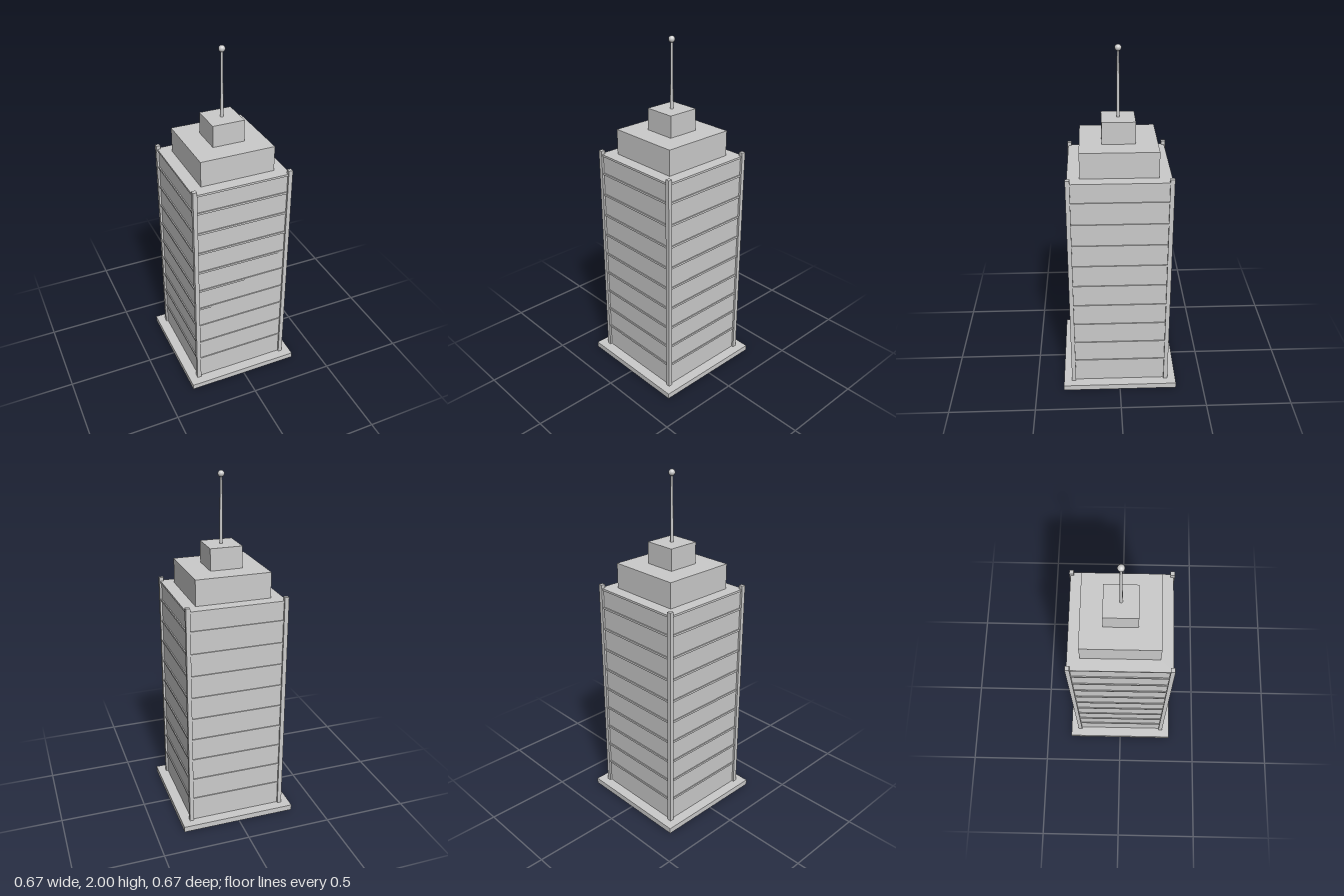
import * as THREE from 'three';

export function createModel() {
  const tower = new THREE.Group();
  tower.name = 'tower';
  const material = new THREE.MeshStandardMaterial({ color: 0xcccccc });

  function add(name, geometry, x, y, z) {
    const mesh = new THREE.Mesh(geometry, material);
    mesh.name = name;
    mesh.position.set(x, y, z);
    tower.add(mesh);
  }

  // Square block from its half width and its bottom and top heights
  function block(name, half, bottom, top, x = 0, z = 0) {
    const geometry = new THREE.BoxGeometry(half * 2, top - bottom, half * 2);
    add(name, geometry, x, (bottom + top) / 2, z);
  }

  // Plinth, main shaft and stepped crown
  block('plinth', 0.337, 0, 0.033);
  block('shaft', 0.277, 0.033, 1.335);
  block('lowerCrown', 0.214, 1.335, 1.483);
  block('upperCrown', 0.092, 1.483, 1.607);

  // Thin ledges between the floors
  for (let i = 0; i < 9; i++) {
    const y = 0.175 + i * 0.1305;
    block('floorLedge', 0.283, y - 0.006, y + 0.006);
  }

  // Slim coping around the roof edge
  block('roofLedge', 0.283, 1.325, 1.337);

  // Corner posts rising just above the roof
  for (const x of [-0.277, 0.277]) {
    for (const z of [-0.277, 0.277]) block('cornerPost', 0.012, 0.033, 1.358, x, z);
  }

  // Mast with a ball on its tip
  add('mast', new THREE.CylinderGeometry(0.006, 0.009, 0.375, 16), 0, 1.7945, 0);
  add('mastBall', new THREE.SphereGeometry(0.018, 24, 16), 0, 1.982, 0);

  return tower;
}
